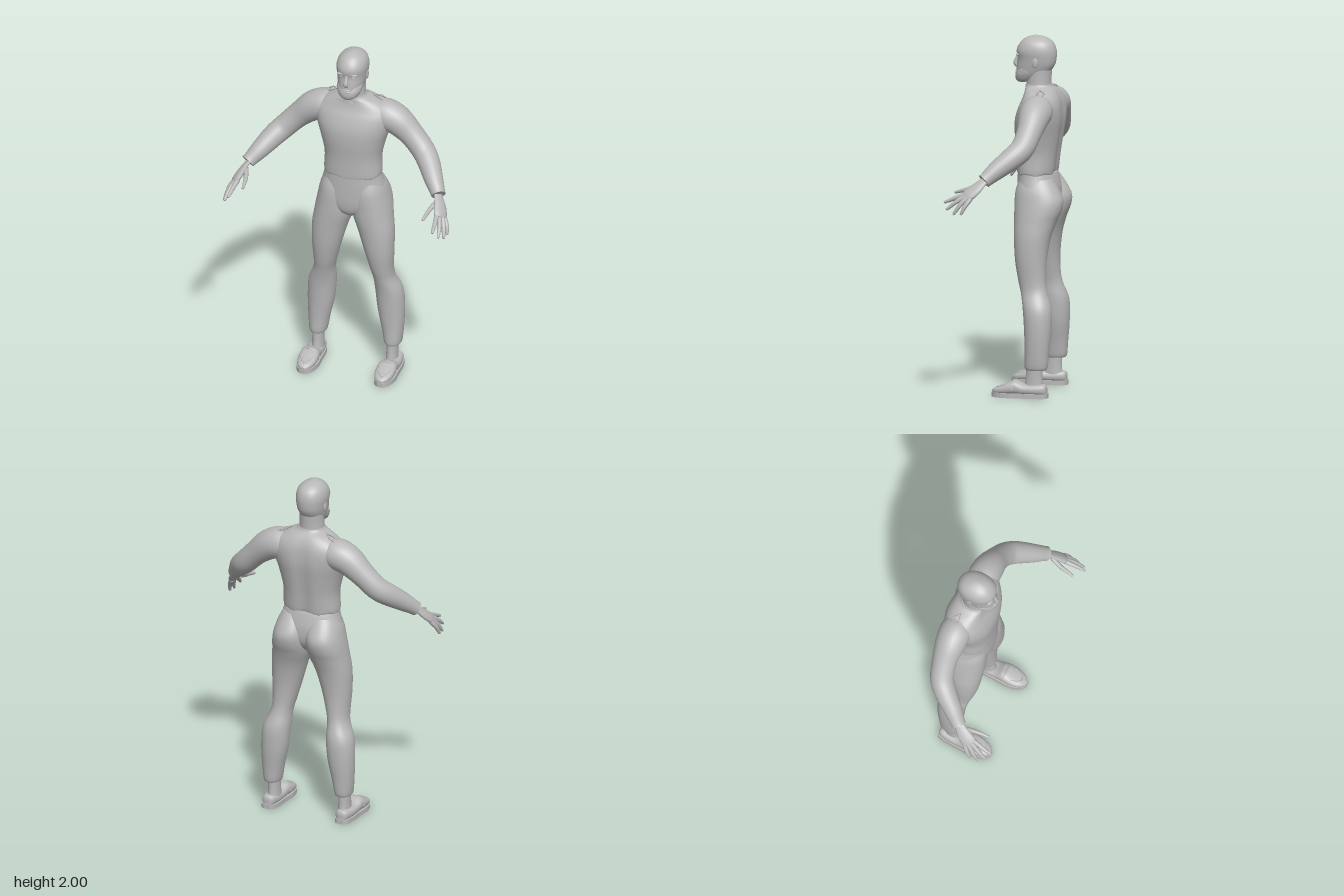
import * as THREE from 'three';

const grey = new THREE.MeshStandardMaterial({ color: 0xb8b8b8 });
grey.name = 'plain grey';

// Catmull-Rom subdivision of rows of numbers
function smoothRows(rows, steps = 4) {
  const out = [];
  for (let i = 0; i < rows.length - 1; i++) {
    const [a, b, c, d] = [rows[Math.max(i - 1, 0)], rows[i], rows[i + 1], rows[Math.min(i + 2, rows.length - 1)]];
    for (let k = 0; k < steps; k++) {
      const t = k / steps;
      out.push(b.map((_, n) => b[n] + 0.5 * t * (c[n] - a[n]
        + t * (2 * a[n] - 5 * b[n] + 4 * c[n] - d[n] + t * (3 * (b[n] - c[n]) + d[n] - a[n])))));
    }
  }
  out.push(rows[rows.length - 1].slice());
  return out;
}

// Closed skin over a stack of rings, with flat caps
function skin(rings) {
  const n = rings[0].length, pos = [], idx = [];
  rings.forEach(r => r.forEach(p => pos.push(p.x, p.y, p.z)));
  for (let i = 0; i < rings.length - 1; i++) {
    for (let j = 0; j < n; j++) {
      const a = i * n + j, b = i * n + (j + 1) % n;
      idx.push(a, a + n, b, b, a + n, b + n);
    }
  }
  [rings[0], rings[rings.length - 1]].forEach((r, end) => {
    const base = pos.length / 3;
    const mid = r.reduce((s, p) => s.add(p), new THREE.Vector3()).divideScalar(n);
    [...r, mid].forEach(p => pos.push(p.x, p.y, p.z));
    for (let j = 0; j < n; j++) {
      const a = base + j, b = base + (j + 1) % n;
      idx.push(base + n, end ? b : a, end ? a : b);
    }
  });
  const g = new THREE.BufferGeometry();
  g.setAttribute('position', new THREE.Float32BufferAttribute(pos, 3));
  g.setIndex(idx);
  g.computeVertexNormals();
  return g;
}

const pow = (v, e) => Math.sign(v) * Math.abs(v) ** e;

// Upright loft; rows are [y, xInner, xOuter, zFront, zBack]
function upright(rows, { n = 36, square = 2, tweak = null } = {}) {
  return skin(smoothRows(rows).map(([y, x0, x1, zf, zb]) => Array.from({ length: n }, (_, j) => {
    const a = j / n * Math.PI * 2;
    const p = new THREE.Vector3((x0 + x1) / 2 + (x1 - x0) / 2 * pow(Math.cos(a), 2 / square), y,
      (zf + zb) / 2 + (zf - zb) / 2 * pow(Math.sin(a), 2 / square));
    if (tweak) tweak(p, a);
    return p;
  })));
}
const centred = rows => rows.map(([y, w, zf, zb]) => [y, -w, w, zf, zb]);

// Tapered tube; rows are [x, y, z, radius], flat squashes it along its second axis
function limb(rows, n = 20, flat = 1, side = new THREE.Vector3(0, 0, 1)) {
  const pts = smoothRows(rows);
  return skin(pts.map((p, i) => {
    const a = pts[Math.max(i - 1, 0)], b = pts[Math.min(i + 1, pts.length - 1)];
    const t = new THREE.Vector3(b[0] - a[0], b[1] - a[1], b[2] - a[2]).normalize();
    const u = side.clone().addScaledVector(t, -side.dot(t)).normalize();
    const v = t.clone().cross(u);
    return Array.from({ length: n }, (_, j) => {
      const w = j / n * Math.PI * 2;
      return new THREE.Vector3(p[0], p[1], p[2])
        .addScaledVector(u, Math.cos(w) * p[3]).addScaledVector(v, -Math.sin(w) * p[3] * flat);
    });
  }));
}

function mirrored(geo) {
  const g = geo.clone().scale(-1, 1, 1), ix = g.index.array;
  for (let i = 0; i < ix.length; i += 3) [ix[i], ix[i + 1]] = [ix[i + 1], ix[i]];
  g.computeVertexNormals();
  return g;
}

function ball(x, y, z, rx, ry, rz) {
  return new THREE.SphereGeometry(1, 18, 12).scale(rx, ry, rz).translate(x, y, z);
}

export function createModel() {
  const model = new THREE.Group();
  model.name = 'standingMan';
  const add = (name, geo) => {
    const m = new THREE.Mesh(geo, grey);
    m.name = name;
    model.add(m);
  };
  const pair = (name, geo) => { add(name + 'Left', geo); add(name + 'Right', mirrored(geo)); };

  // Sweater body with a shallow spine groove and a wavy hem
  add('sweaterBody', upright(centred([
    [1.232, 0.158, -0.002, -0.213], [1.25, 0.165, 0.0, -0.219], [1.35, 0.163, 0.003, -0.232],
    [1.45, 0.185, 0.012, -0.247], [1.53, 0.21, 0.01, -0.258], [1.6, 0.225, -0.01, -0.257],
    [1.65, 0.205, -0.032, -0.245], [1.69, 0.145, -0.042, -0.222], [1.715, 0.085, -0.042, -0.195],
    [1.728, 0.073, -0.044, -0.186],
  ]), { n: 48, square: 2.25, tweak: (p, a) => {
    if (Math.sin(a) < 0) p.z += 0.014 * Math.exp(-((p.x / 0.04) ** 2)) * Math.min(1, (1.73 - p.y) * 8);
    if (p.y < 1.24) p.y += 0.004 * Math.sin(a * 7);
  } }));

  // Sleeves and cuffs
  pair('sleeve', limb([
    [0.12, 1.6, -0.145, 0.08], [0.18, 1.6, -0.148, 0.09], [0.25, 1.572, -0.147, 0.085], [0.33, 1.505, -0.142, 0.07],
    [0.405, 1.43, -0.122, 0.066], [0.455, 1.383, -0.078, 0.063], [0.51, 1.323, -0.006, 0.053],
    [0.55, 1.278, 0.043, 0.042], [0.56, 1.266, 0.056, 0.041],
  ], 24));

  // Diamond-shaped lips on top of the shoulders
  pair('shoulderOpening', new THREE.TorusGeometry(0.034, 0.005, 6, 4).scale(1.25, 0.6, 1)
    .rotateX(-Math.PI / 2).rotateY(0.3).rotateZ(-0.4).translate(0.148, 1.695, -0.16));

  // Hands: flat palm, four fingers and a thumb
  pair('palm', limb([
    [0.55, 1.277, 0.042, 0.028], [0.566, 1.255, 0.068, 0.03], [0.585, 1.222, 0.1, 0.04],
    [0.6, 1.192, 0.135, 0.043], [0.607, 1.178, 0.152, 0.034],
  ], 16, 0.42, new THREE.Vector3(0.55, -0.35, -0.75)));
  const fingers = {
    indexFinger: [[0.585, 1.195, 0.155], [0.594, 1.172, 0.21], [0.6, 1.147, 0.268]],
    middleFinger: [[0.6, 1.186, 0.15], [0.618, 1.15, 0.205], [0.628, 1.113, 0.25]],
    ringFinger: [[0.612, 1.18, 0.138], [0.634, 1.135, 0.178], [0.645, 1.09, 0.208]],
    littleFinger: [[0.616, 1.175, 0.118], [0.64, 1.133, 0.145], [0.65, 1.092, 0.165]],
    thumb: [[0.562, 1.24, 0.085], [0.54, 1.215, 0.15], [0.53, 1.193, 0.224]],
  };
  for (const [name, [a, b, c]] of Object.entries(fingers)) {
    const tip = c.map((v, i) => v + (c[i] - b[i]) * 0.1);
    pair(name, limb([[...a, 0.014], [...b, 0.0125], [...c, 0.008], [...tip, 0.002]], 10));
  }

  // Trousers: seat and two legs
  add('trouserSeat', upright(centred([
    [0.965, 0.02, -0.06, -0.13], [1.0, 0.09, -0.018, -0.19], [1.06, 0.175, -0.004, -0.232],
    [1.14, 0.184, -0.002, -0.238], [1.21, 0.167, -0.003, -0.222], [1.238, 0.161, -0.004, -0.212],
  ]), { square: 2.2 }));
  pair('trouserLeg', upright([
    [0.155, 0.18, 0.258, -0.1, -0.205], [0.17, 0.17, 0.268, -0.09, -0.218], [0.25, 0.155, 0.276, -0.09, -0.225],
    [0.37, 0.13, 0.281, -0.085, -0.236], [0.49, 0.119, 0.273, -0.075, -0.235], [0.58, 0.116, 0.236, -0.058, -0.206],
    [0.65, 0.1, 0.23, -0.04, -0.195], [0.76, 0.07, 0.236, -0.02, -0.196], [0.88, 0.035, 0.236, -0.01, -0.213],
    [0.97, 0.002, 0.224, -0.005, -0.242], [1.03, -0.006, 0.215, -0.004, -0.267], [1.09, -0.006, 0.203, -0.004, -0.276],
    [1.15, 0.0, 0.187, -0.01, -0.25], [1.21, 0.02, 0.16, -0.03, -0.21],
  ], { square: 2.15 }));

  // Ankles
  pair('ankle', upright([[0.05, 0.183, 0.252, -0.085, -0.195], [0.11, 0.186, 0.25, -0.095, -0.19],
    [0.2, 0.186, 0.25, -0.1, -0.19]], { n: 20 }));

  // Slip-on shoes: rows are [z, half width, top height]
  const last = [[-0.218, 0.012, 0.055], [-0.205, 0.034, 0.076], [-0.15, 0.046, 0.074], [-0.09, 0.049, 0.076],
    [-0.045, 0.053, 0.096], [-0.01, 0.056, 0.086], [0.035, 0.051, 0.066], [0.072, 0.036, 0.052], [0.094, 0.012, 0.038]];
  pair('shoeUpper', skin(smoothRows(last).map(([z, w, h]) => Array.from({ length: 24 }, (_, j) => {
    const a = j / 24 * Math.PI * 2;
    return new THREE.Vector3(0.227 + w * pow(Math.cos(a), 0.8), (h + 0.015) / 2 - (h - 0.015) / 2 * pow(Math.sin(a), 0.8), z);
  }))));
  const edge = smoothRows(last, 3).map(([z, w]) => [w + 0.003, z * 1.02]);
  const outline = new THREE.Shape([...edge.map(([x, z]) => new THREE.Vector2(x, -z)),
    ...edge.reverse().map(([x, z]) => new THREE.Vector2(-x, -z))]);
  const sole = new THREE.ExtrudeGeometry(outline, { depth: 0.026, bevelEnabled: false }).rotateX(-Math.PI / 2);
  for (const [name, x] of [['soleLeft', 0.227], ['soleRight', -0.227]]) add(name, sole.clone().translate(x, 0, 0));
  // Strap across the instep and stitched apron
  const arc = (pts, r) => new THREE.TubeGeometry(new THREE.CatmullRomCurve3(pts.map(p => new THREE.Vector3(...p))), 24, r, 6);
  pair('shoeStrap', arc([[0.173, 0.045, -0.03], [0.19, 0.082, -0.03], [0.227, 0.094, -0.03],
    [0.264, 0.082, -0.03], [0.281, 0.045, -0.03]], 0.006));
  pair('shoeApronSeam', arc([[0.192, 0.081, -0.02], [0.195, 0.066, 0.025], [0.227, 0.055, 0.066],
    [0.259, 0.066, 0.025], [0.262, 0.081, -0.02]], 0.003));

  // Neck and head
  add('neck', upright(centred([[1.69, 0.077, -0.038, -0.19], [1.73, 0.07, -0.045, -0.184],
    [1.78, 0.068, -0.045, -0.186], [1.83, 0.068, -0.05, -0.19]])));
  add('head', upright(centred([
    [1.742, 0.028, 0.0, -0.05], [1.755, 0.05, 0.01, -0.1], [1.785, 0.066, 0.013, -0.165], [1.83, 0.077, 0.009, -0.202],
    [1.87, 0.083, 0.004, -0.213], [1.915, 0.087, 0.01, -0.214], [1.955, 0.077, -0.008, -0.2],
    [1.982, 0.052, -0.036, -0.17], [1.996, 0.022, -0.07, -0.132], [2.0, 0.003, -0.095, -0.105],
  ]), { square: 2.15 }));

  // Face
  add('nose', limb([[0, 1.885, 0.003, 0.008], [0, 1.86, 0.012, 0.011], [0, 1.838, 0.018, 0.014],
    [0, 1.826, 0.008, 0.012]], 12, 1, new THREE.Vector3(1, 0, 0)));
  pair('brow', ball(0.034, 1.893, -0.006, 0.026, 0.007, 0.013));
  pair('eye', ball(0.033, 1.875, -0.011, 0.013, 0.007, 0.012));
  pair('ear', ball(0.081, 1.855, -0.112, 0.007, 0.029, 0.017));
  add('upperLip', ball(0, 1.8, 0.01, 0.025, 0.005, 0.009));
  add('lowerLip', ball(0, 1.788, 0.009, 0.022, 0.006, 0.01));

  // Rough short beard along the jaw
  add('beard', upright(centred([[1.737, 0.03, 0.004, -0.05], [1.75, 0.052, 0.015, -0.085],
    [1.77, 0.064, 0.018, -0.1], [1.79, 0.071, 0.014, -0.11], [1.815, 0.074, 0.002, -0.115]]),
  { n: 48, tweak: (p, a) => {
    const rough = 1 + 0.025 * Math.sin(a * 17 + p.y * 300) * Math.sin(a * 11 - p.y * 410);
    p.x *= rough;
    p.z = (p.z + 0.05) * rough - 0.05;
  } }));

  return model;
}
